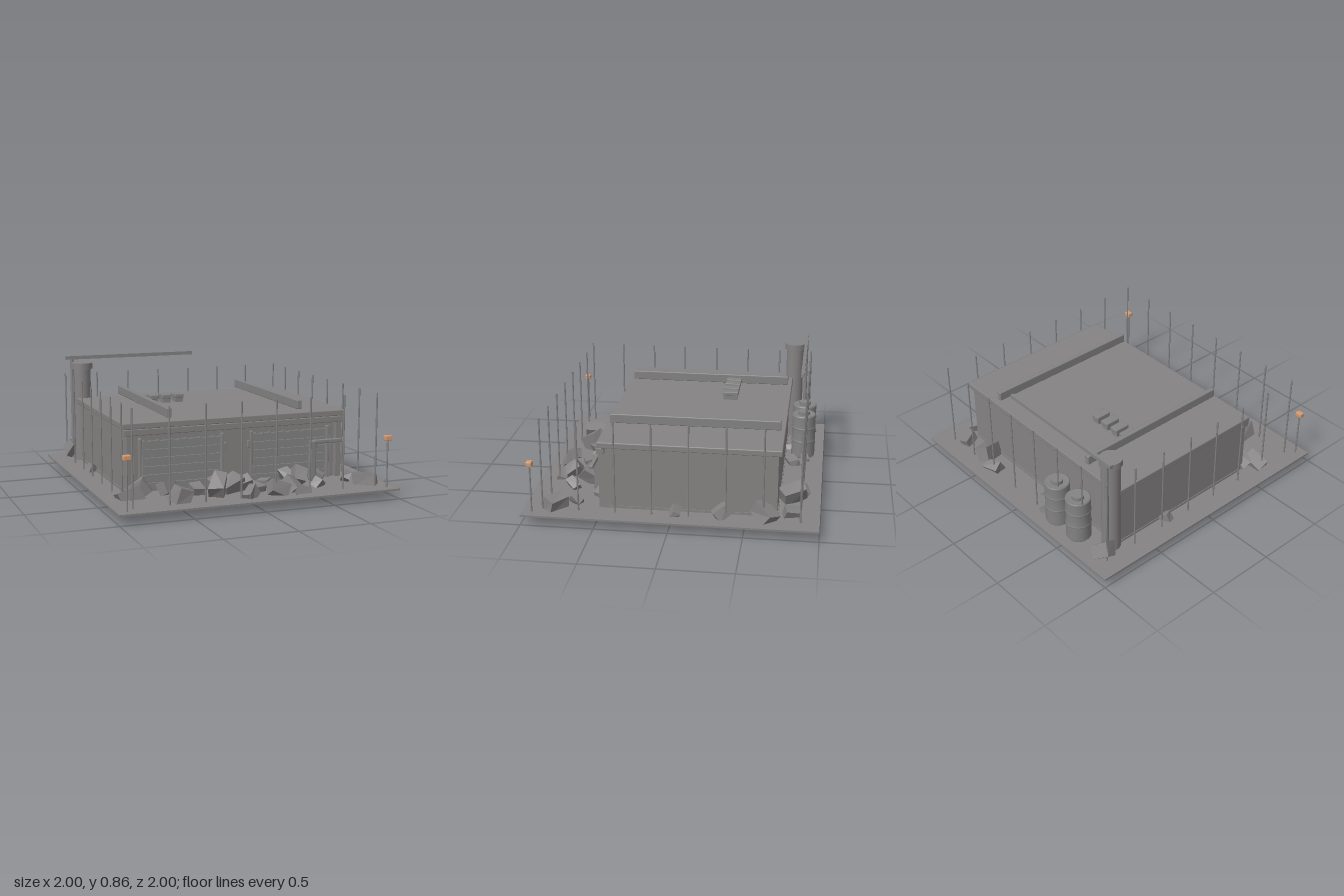
import * as THREE from 'three';
import { RoundedBoxGeometry } from 'three/addons/geometries/RoundedBoxGeometry.js';

export function createModel() {
  const model = new THREE.Group();
  const material = (name, color) => {
    const m = new THREE.MeshStandardMaterial({ color });
    m.name = name;
    return m;
  };
  const concrete = material('concrete', 0x858282);
  const steel = material('steel', 0x838383);
  const stone = material('stone', 0x828080);
  const amber = material('amber', 0xd39a70);

  const add = (name, geometry, mat, x, y, z, parent = model) => {
    const mesh = new THREE.Mesh(geometry, mat);
    mesh.name = name;
    mesh.position.set(x, y, z);
    parent.add(mesh);
    return mesh;
  };
  // Box given by its extents on each axis
  const box = (name, mat, x0, x1, y0, y1, z0, z1, parent) =>
    add(name, new THREE.BoxGeometry(x1 - x0, y1 - y0, z1 - z0), mat,
      (x0 + x1) / 2, (y0 + y1) / 2, (z0 + z1) / 2, parent);
  const rounded = (name, mat, x0, x1, y0, y1, z0, z1, r, parent) =>
    add(name, new RoundedBoxGeometry(x1 - x0, y1 - y0, z1 - z0, 1, r), mat,
      (x0 + x1) / 2, (y0 + y1) / 2, (z0 + z1) / 2, parent);
  // Upright cylinder between two heights
  const post = (name, mat, x, z, r, y0, y1, sides = 8, parent) =>
    add(name, new THREE.CylinderGeometry(r, r, y1 - y0, sides), mat, x, (y0 + y1) / 2, z, parent);

  let seed = 11;
  const random = () => {
    seed = (seed * 16807) % 2147483647;
    return seed / 2147483647;
  };

  // Ground slab
  const ground = 0.073;
  box('groundSlab', concrete, -1, 1, 0.06, ground, -1, 1);

  // Building shell
  box('walls', concrete, -0.8, 0.8, ground, 0.515, -0.715, 0.455);
  box('plinth', concrete, -0.805, 0.805, ground, 0.09, -0.72, 0.46);
  rounded('roofSlab', concrete, -0.83, 0.83, 0.513, 0.555, -0.74, 0.5, 0.006);
  rounded('frontFascia', concrete, -0.82, 0.82, 0.47, 0.513, 0.45, 0.505, 0.005);
  box('centrePier', concrete, -0.12, 0.12, ground, 0.475, 0.45, 0.475);

  // Corner piers and the two slatted doors
  for (const s of [-1, 1]) {
    box('cornerPier', concrete, s * 0.78 - 0.02, s * 0.78 + 0.02, ground, 0.475, 0.44, 0.495);
    box('cornerStrip', concrete, s * 0.735 - 0.012, s * 0.735 + 0.012, ground, 0.475, 0.44, 0.475);
    const door = new THREE.Group();
    door.name = 'slattedDoor';
    model.add(door);
    for (let i = 0; i < 6; i++) {
      const y = 0.08 + i * 0.058;
      box('doorSlat', steel, s * 0.4 - 0.28, s * 0.4 + 0.28, y, y + 0.051, 0.45, 0.474, door);
    }
    box('doorBack', steel, s * 0.4 - 0.28, s * 0.4 + 0.28, 0.08, 0.425, 0.45, 0.462, door);
    for (const x of [0.108, 0.7])
      rounded('doorRail', steel, s * x - 0.01, s * x + 0.01, ground, 0.445, 0.455, 0.493, 0.004, door);
    rounded('doorSwitch', steel, s * 0.09 - 0.011, s * 0.09 + 0.011, 0.33, 0.378, 0.47, 0.49, 0.004);
  }

  // Roof beams
  for (const x of [-0.488, 0.482])
    rounded('roofBeam', steel, x - 0.018, x + 0.018, 0.573, 0.638, -0.712, 0.47, 0.006);

  // Roof vents
  for (const x of [-0.45, -0.357, -0.26, -0.163]) {
    box('ventBody', steel, x - 0.028, x + 0.028, 0.55, 0.592, -0.355, -0.255);
    rounded('ventCap', steel, x - 0.034, x + 0.034, 0.585, 0.615, -0.363, -0.25, 0.005);
  }

  // Chimney
  post('chimneyStack', concrete, -0.775, -0.75, 0.065, ground, 0.78, 24);
  post('chimneyCap', concrete, -0.775, -0.75, 0.079, 0.775, 0.82, 24);

  // Mast with a long cross bar
  post('mast', steel, -0.832, -0.835, 0.013, ground, 0.845, 10);
  box('mastBar', steel, -0.88, 0.145, 0.837, 0.863, -0.847, -0.823);

  // Barrels
  const profile = [[0, 0.073], [0.084, 0.073], [0.088, 0.08], [0.085, 0.19], [0.09, 0.195], [0.09, 0.203],
    [0.085, 0.208], [0.085, 0.293], [0.09, 0.298], [0.09, 0.306], [0.085, 0.311], [0.088, 0.39],
    [0.088, 0.4], [0.08, 0.403], [0.078, 0.397], [0, 0.397]].map(([r, y]) => new THREE.Vector2(r, y));
  for (const x of [-0.55, -0.33]) {
    add('barrel', new THREE.LatheGeometry(profile, 20), steel, x, 0, -0.845);
    post('barrelCap', steel, x, -0.845, 0.043, 0.39, 0.423, 14);
  }

  // Bollard with an arm at the front
  rounded('frontPost', steel, 0.52, 0.57, ground, 0.362, 0.532, 0.578, 0.012);
  rounded('frontArm', steel, 0.52, 0.775, 0.335, 0.362, 0.537, 0.565, 0.006);

  // Ring of thin rods around the yard
  for (let i = 0; i < 8; i++) {
    const t = -0.875 + i * 0.25;
    for (const s of [-1, 1]) {
      post('fenceRod', steel, t, s * 0.872, 0.006, 0.06, 0.724, 6);
      if (i > 0 && i < 7) post('fenceRod', steel, s * 0.872, t, 0.006, 0.06, 0.724, 6);
    }
  }

  // Marker lamps at the front corners
  for (const s of [-1, 1]) {
    post('lampPole', steel, s * 0.93, 0.935, 0.006, ground, 0.41, 8);
    rounded('lamp', amber, s * 0.93 - 0.026, s * 0.93 + 0.026, 0.404, 0.438, 0.915, 0.955, 0.006);
  }

  // Rubble: boxes with jittered corners, tumbled and sunk into the slab
  const rubble = new THREE.Group();
  rubble.name = 'rubble';
  model.add(rubble);
  const addStone = (x, z, length, bottom) => {
    const g = new THREE.BoxGeometry(length, length * 0.68, length * 0.6).toNonIndexed();
    const corners = Array.from({ length: 8 }, () => [0, 1, 2].map(() => 0.72 + random() * 0.35));
    const p = g.attributes.position;
    for (let i = 0; i < p.count; i++) {
      const c = corners[(p.getX(i) > 0 ? 1 : 0) + (p.getY(i) > 0 ? 2 : 0) + (p.getZ(i) > 0 ? 4 : 0)];
      p.setXYZ(i, p.getX(i) * c[0], p.getY(i) * c[1], p.getZ(i) * c[2]);
    }
    g.rotateX(random() * 1.2 - 0.6);
    g.rotateZ(random() * 1.2 - 0.6);
    g.rotateY(random() * Math.PI);
    g.computeVertexNormals();
    g.computeBoundingBox();
    add('stone', g, stone, x, bottom - g.boundingBox.min.y, z, rubble);
  };
  const stones = [
    [-0.82, 0.61, 0.18], [-0.74, 0.54, 0.17], [-0.54, 0.58, 0.14], [-0.52, 0.79, 0.17], [-0.35, 0.62, 0.16],
    [-0.2, 0.59, 0.15], [-0.24, 0.74, 0.18], [-0.12, 0.67, 0.19], [-0.02, 0.65, 0.13], [0.05, 0.69, 0.15],
    [0.17, 0.68, 0.11], [-0.05, 0.86, 0.12], [0.15, 0.85, 0.15], [0.28, 0.79, 0.15], [0.33, 0.86, 0.12],
    [0.19, 0.53, 0.11], [0.36, 0.57, 0.15], [0.4, 0.62, 0.17], [0.5, 0.74, 0.11], [0.76, 0.66, 0.1],
    [0.84, 0.78, 0.17], [0.6, 0.51, 0.12], [-0.82, -0.86, 0.16], [-0.15, -0.78, 0.14], [-0.22, -0.87, 0.09],
    [-0.44, -0.76, 0.11], [0.4, -0.86, 0.14], [0.53, -0.81, 0.19], [0.78, -0.81, 0.12], [0.85, -0.63, 0.17],
    [0.85, -0.35, 0.13], [0.85, -0.03, 0.11], [-0.82, -0.3, 0.11]];
  stones.forEach(([x, z, l], i) => addStone(x, z, l, i === 0 ? 0 : 0.015 + random() * 0.035));
  // Buried stones whose tips show beneath the slab
  for (let i = 0; i < 40; i++)
    addStone(random() * 1.4 - 0.7, random() * 1.05 - 0.65, 0.08 + random() * 0.07, 0.02 + random() * 0.035);

  return model;
}
